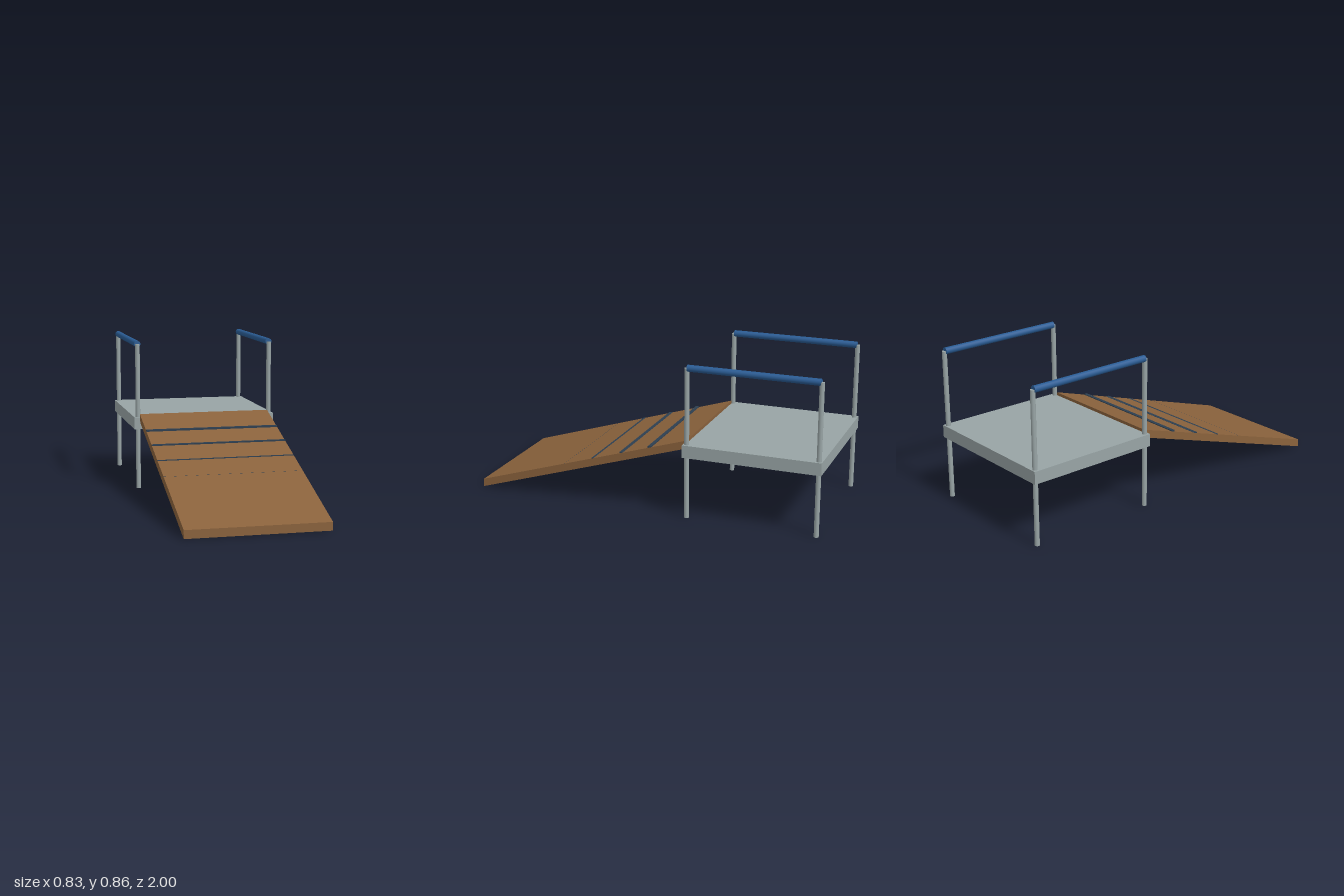
import * as THREE from 'three';

function material(name, color) {
  const m = new THREE.MeshStandardMaterial({ color });
  m.name = name;
  return m;
}

export function createModel() {
  const grey = material('galvanised grey', 0x98a4a5);
  const brown = material('wood brown', 0x8a623c);
  const blue = material('rail blue', 0x2a5c94);
  const navy = material('cleat navy', 0x2c3e50);

  const model = new THREE.Group();
  const add = (name, geometry, mat, x, y, z) => {
    const mesh = new THREE.Mesh(geometry, mat);
    mesh.name = name;
    mesh.position.set(x, y, z);
    model.add(mesh);
    return mesh;
  };

  // Platform deck
  const deckZ = -0.6175;
  add('platform', new THREE.BoxGeometry(0.832, 0.07, 0.765), grey, 0, 0.385, deckZ);

  // Corner posts and handrails
  const postHeight = 0.844;
  const postGeo = new THREE.CylinderGeometry(0.0135, 0.0135, postHeight, 16);
  const railGeo = new THREE.CylinderGeometry(0.0185, 0.0185, 0.72, 16).rotateX(Math.PI / 2);
  for (const [side, sx] of [['left', 1], ['right', -1]]) {
    for (const [end, sz] of [['Front', 1], ['Back', -1]]) {
      add(`${side}${end}Post`, postGeo, grey, sx * 0.3925, postHeight / 2, deckZ + sz * 0.363);
    }
    add(`${side}Handrail`, railGeo, blue, sx * 0.3925, postHeight, deckZ);
  }

  // Ramp: sloping slab with upright ends, sheared from a box
  const rampWidth = 0.766, frontZ = 1, backZ = -0.247, thickness = 0.045, slope = 0.3145;
  const rampGeo = new THREE.BoxGeometry(rampWidth, thickness, frontZ - backZ);
  rampGeo.translate(0, thickness / 2, (frontZ + backZ) / 2);
  const p = rampGeo.attributes.position;
  for (let i = 0; i < p.count; i++) p.setY(i, p.getY(i) + (frontZ - p.getZ(i)) * slope);
  rampGeo.computeVertexNormals();
  add('ramp', rampGeo, brown, 0, 0, 0);

  // Level cleats that sink gradually into the ramp on the way down
  const cleatGeo = new THREE.BoxGeometry(rampWidth - 0.0005, 0.015, 0.02);
  for (let i = 0; i < 4; i++) {
    add(`cleat${i + 1}`, cleatGeo, navy, 0, 0.378 - i * 0.0564 - 0.0075, -0.036 + i * 0.1688);
  }

  return model;
}
